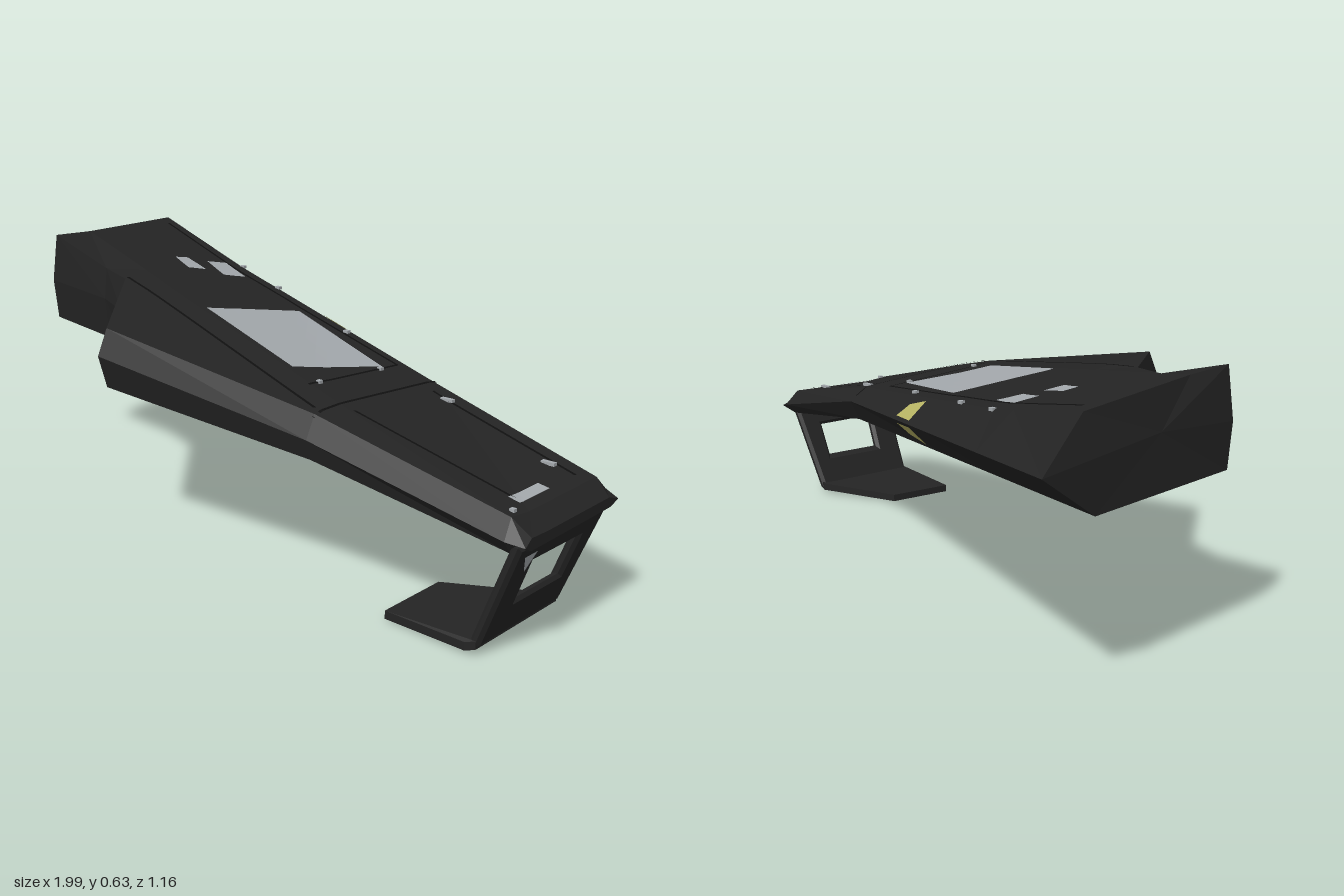
import * as THREE from 'three';

const material = (color) => new THREE.MeshStandardMaterial({ color, flatShading: true, side: THREE.DoubleSide });
const dark = material(0x242424);
const seamDark = material(0x101010);
const pale = material(0xa4a9ad);
const yellow = material(0xb9b564);

// Lengthwise edges of the hull as [x, y, z], each from the root to the wing tip
const trailingEdge = [[-1, 0.49, -0.58], [0.42, 0.38, 0], [0.95, 0.28, 0.135]];
const rearRidge = [[-0.94, 0.597, -0.41], [-0.5, 0.522, -0.265], [0.42, 0.415, 0.06], [0.95, 0.32, 0.18]];
const frontRidge = [[-0.87, 0.622, -0.01], [0.42, 0.445, 0.43], [0.95, 0.32, 0.46]];
const upperFront = [[-0.865, 0.632, 0.125], [-0.62, 0.575, 0.165], [-0.5, 0.57, 0.21],
  [-0.22, 0.545, 0.55], [0.42, 0.445, 0.525], [0.95, 0.328, 0.53]];
const leadingEdge = [[-0.875, 0.5, 0.135], [-0.62, 0.49, 0.175], [-0.5, 0.485, 0.23],
  [-0.22, 0.48, 0.582], [0.42, 0.39, 0.555], [0.95, 0.28, 0.555]];
const lowerFront = [[-0.875, 0.387, 0.12], [-0.62, 0.375, 0.16], [-0.5, 0.375, 0.21],
  [-0.22, 0.395, 0.555], [0.42, 0.34, 0.54], [0.95, 0.247, 0.53]];
const lowerRear = [[-0.97, 0.38, -0.4], [0.42, 0.325, 0.03], [0.95, 0.25, 0.17]];
const rails = [trailingEdge, rearRidge, frontRidge, upperFront, leadingEdge, lowerFront, lowerRear];

// Point of an edge at a span station; station -1 is the raked root
function railPoint(rail, s) {
  const key = (i) => (i === 0 ? -1 : rail[i][0]);
  let k = 0;
  while (k < rail.length - 2 && key(k + 1) < s) k++;
  const t = (s - key(k)) / (key(k + 1) - key(k));
  return rail[k].map((v, i) => v + (rail[k + 1][i] - v) * t);
}

function buildGeometry(points, index) {
  const geometry = new THREE.BufferGeometry();
  geometry.setAttribute('position', new THREE.Float32BufferAttribute(points.flat(), 3));
  geometry.setIndex(index);
  geometry.computeVertexNormals();
  return geometry;
}

// Faceted loft through the stations, with a chamfered tip, closed at both ends
function hullGeometry() {
  const n = rails.length;
  const sections = [-1, -0.62, -0.5, -0.22, 0.42, 0.95].map((s) => rails.map((rail) => railPoint(rail, s)));
  sections.push(sections.at(-1).map(([, y, z]) => [0.992, 0.265 + (y - 0.265) * 0.35, 0.34 + (z - 0.34) * 0.92]));
  const last = sections.length - 1;
  const points = sections.flat();
  const middle = (section) => [0, 1, 2].map((i) => section.reduce((sum, p) => sum + p[i], 0) / n);
  const index = [];
  for (let i = 0; i < last; i++) {
    for (let j = 0; j < n; j++) {
      const k = (j + 1) % n;
      const [a, b, c, d] = [i * n + j, i * n + k, (i + 1) * n + k, (i + 1) * n + j];
      index.push(a, b, c, a, c, d);
    }
  }
  const root = points.push(middle(sections[0])) - 1;
  const tip = points.push(middle(sections[last])) - 1;
  for (let j = 0; j < n; j++) {
    const k = (j + 1) % n;
    index.push(root, k, j, tip, last * n + j, last * n + k);
  }
  return buildGeometry(points, index);
}

export function createModel() {
  const model = new THREE.Group();
  const add = (name, geometry, mat) => {
    const mesh = new THREE.Mesh(geometry, mat);
    mesh.name = name;
    model.add(mesh);
    return mesh;
  };

  const hull = add('wingHull', hullGeometry(), dark);

  // Height of the hull's top or underside at a plan position
  const ray = new THREE.Raycaster();
  function surfaceY(x, z, top) {
    ray.set(new THREE.Vector3(x, top ? 2 : -2, z), new THREE.Vector3(0, top ? -1 : 1, 0));
    const hit = ray.intersectObject(hull)[0];
    return (hit ? hit.point.y : 0.3) + (top ? 0.003 : -0.003);
  }

  // Four-cornered plan patch [x, z] laid onto the hull
  function patch(name, corners, mat, top = true, cols = 8, rows = 8) {
    const [a, b, c, d] = corners.map(([x, z]) => new THREE.Vector2(x, z));
    const points = [];
    const index = [];
    for (let i = 0; i <= rows; i++) {
      for (let j = 0; j <= cols; j++) {
        const p = a.clone().lerp(b, j / cols).lerp(d.clone().lerp(c, j / cols), i / rows);
        points.push([p.x, surfaceY(p.x, p.y, top), p.y]);
        if (i === rows || j === cols) continue;
        const q = i * (cols + 1) + j;
        const r = q + cols + 1;
        if (top) index.push(q, r, r + 1, q, r + 1, q + 1);
        else index.push(q, r + 1, r, q, q + 1, r + 1);
      }
    }
    add(name, buildGeometry(points, index), mat);
  }

  patch('mainWindowPanel', [[-0.12, -0.07], [0.29, 0.1], [0.2, 0.34], [-0.21, 0.2]], pale);
  patch('rearHatchPanel', [[-0.53, -0.23], [-0.41, -0.18], [-0.44, -0.12], [-0.55, -0.17]], pale);
  patch('frontHatchPanel', [[-0.59, -0.13], [-0.49, -0.1], [-0.51, -0.05], [-0.6, -0.09]], pale);
  patch('tipPanel', [[0.89, 0.33], [0.92, 0.33], [0.92, 0.45], [0.89, 0.45]], pale);
  patch('undersidePanel', [[0.13, 0.31], [0.21, 0.33], [0.19, 0.38], [0.11, 0.36]], pale, false);

  // Yellow marker wrapped round the trailing edge
  const marker = [[-0.11, -0.208], [0, -0.162], [-0.01, -0.125], [-0.09, -0.135]];
  patch('trailingMarkerTop', marker, yellow);
  patch('trailingMarkerUnderside', marker, yellow, false);

  // Panel seams, each from one plan point to another
  function seam(name, x1, z1, x2, z2, top) {
    const across = new THREE.Vector2(z1 - z2, x2 - x1).setLength(0.004);
    const corner = (x, z, k) => [x + across.x * k, z + across.y * k];
    patch(name, [corner(x1, z1, -1), corner(x2, z2, -1), corner(x2, z2, 1), corner(x1, z1, 1)], seamDark, top, 16, 1);
  }
  seam('rearTopSeam', -0.88, -0.35, 0.3, 0.05, true);
  seam('frontTopSeam', -0.5, 0.2, 0.4, 0.5, true);
  seam('outerPanelSeam', 0.42, 0.02, 0.42, 0.53, true);
  seam('innerPanelSeam', 0.3, 0.05, 0.3, 0.4, true);
  seam('tipRearSeam', 0.46, 0.12, 0.92, 0.22, true);
  seam('tipFrontSeam', 0.46, 0.43, 0.9, 0.44, true);
  seam('rearUndersideSeam', -0.85, -0.3, 0.35, 0.1, false);
  seam('frontUndersideSeam', -0.4, 0.25, 0.4, 0.42, false);
  seam('outerUndersideSeam', 0.42, 0.06, 0.42, 0.5, false);

  // Small fixings [x, z, width]
  const studs = [[-0.5, -0.27, 0.015], [-0.3, -0.195, 0.015], [0.06, -0.05, 0.015], [0.3, 0.12, 0.012],
    [0.3, 0.36, 0.012], [0.51, 0.13, 0.035], [0.85, 0.22, 0.035], [0.935, 0.5, 0.012]];
  studs.forEach(([x, z, w], i) => {
    const stud = add(`stud${i + 1}`, new THREE.BoxGeometry(w, 0.008, 0.012), pale);
    stud.position.set(x, surfaceY(x, z, true), z);
  });

  // Winglet: windowed frame, drawn as (z, y) and leaning inward towards its foot
  const outline = (corners) => corners.map(([u, v]) => new THREE.Vector2(u, v));
  const frame = new THREE.Shape(outline([[0.225, 0.025], [0.54, 0.025], [0.535, 0.26], [0.19, 0.26]]));
  frame.holes.push(new THREE.Path(outline([[0.26, 0.097], [0.253, 0.212], [0.465, 0.217], [0.465, 0.1]])));
  const wingletGeometry = new THREE.ExtrudeGeometry(frame, {
    depth: 0.01, bevelEnabled: true, bevelThickness: 0.009, bevelSize: 0.01, bevelSegments: 1,
  });
  wingletGeometry.rotateY(-Math.PI / 2);
  const lean = (y) => 0.89 + (y - 0.045) * 0.39;
  const pos = wingletGeometry.attributes.position;
  for (let i = 0; i < pos.count; i++) pos.setX(i, pos.getX(i) + lean(pos.getY(i)));
  wingletGeometry.computeVertexNormals();
  add('wingletFrame', wingletGeometry, dark);

  // Pale triangle on the outer face of the winglet
  const mark = [[0.24, 0.515], [0.24, 0.465], [0.195, 0.49]].map(([y, z]) => [lean(y) + 0.012, y, z]);
  add('wingletMarker', buildGeometry(mark, [0, 1, 2]), pale);

  // Foot plate tapering inward below the wing, with a slightly raised outer edge
  const plan = outline([[0.62, -0.52], [0.86, -0.555], [0.885, -0.55], [0.885, -0.22], [0.86, -0.215], [0.62, -0.31]]);
  const footGeometry = new THREE.ExtrudeGeometry(new THREE.Shape(plan), { depth: 0.02, bevelEnabled: false });
  footGeometry.rotateX(-Math.PI / 2);
  const foot = footGeometry.attributes.position;
  for (let i = 0; i < foot.count; i++) {
    const x = foot.getX(i);
    foot.setY(i, foot.getY(i) + (x > 0.88 ? 0.015 : (x - 0.62) * 0.03));
  }
  footGeometry.computeVertexNormals();
  add('wingletFoot', footGeometry, dark);

  return model;
}
